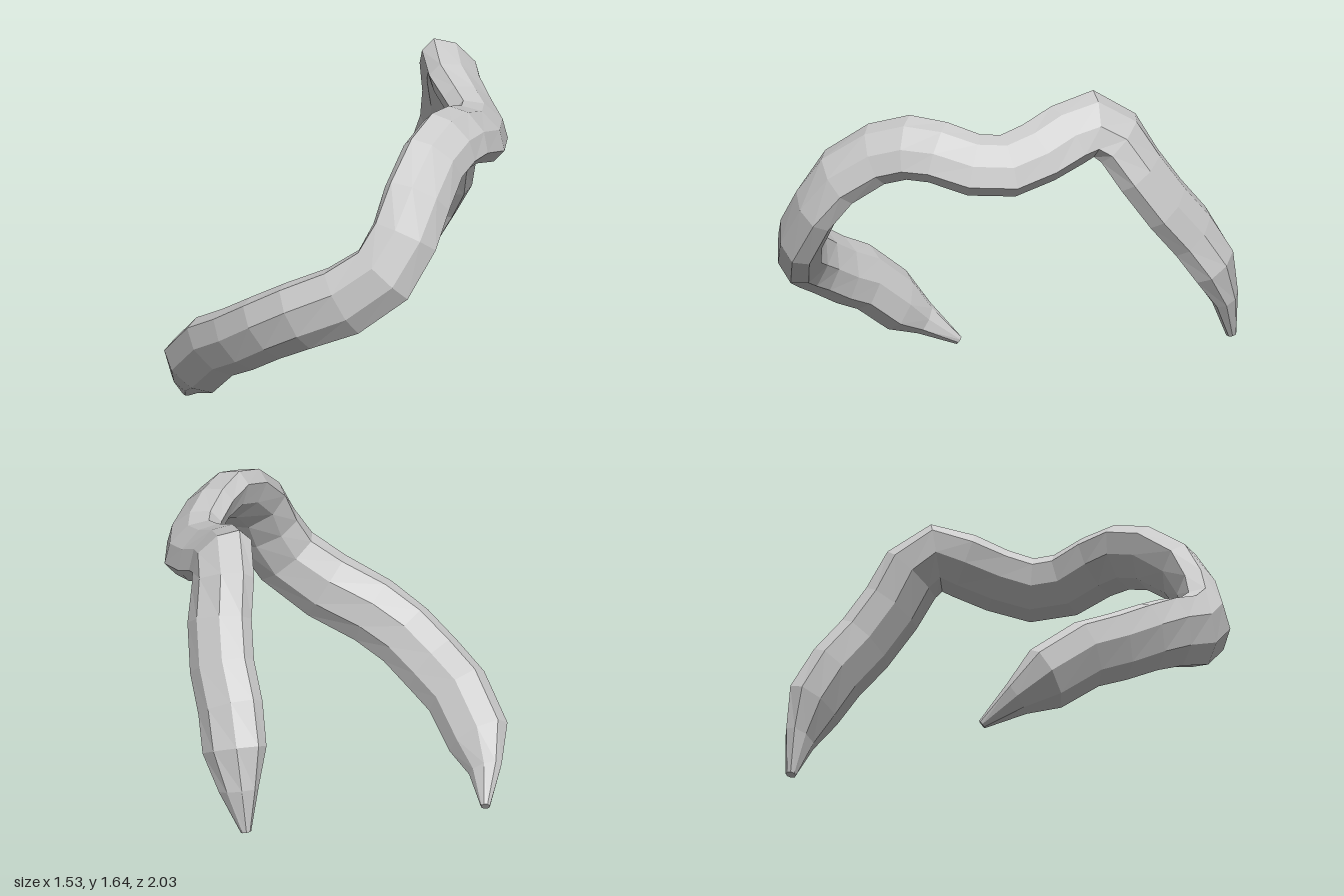
import * as THREE from 'three';

// Stations along the limb: centre x, y, z and half width
const STATIONS = [
  // back leg, from its tip up to the knee
  [-0.73, 0.37, -0.95, 0.025],
  [-0.68, 0.57, -0.95, 0.1],
  [-0.62, 0.75, -0.92, 0.165],
  [-0.53, 0.92, -0.86, 0.17],
  [-0.41, 1.08, -0.80, 0.17],
  [-0.31, 1.26, -0.72, 0.17],
  [-0.25, 1.42, -0.64, 0.17],
  // crossing span
  [-0.16, 1.50, -0.56, 0.17],
  [-0.05, 1.46, -0.49, 0.165],
  [0.10, 1.40, -0.43, 0.16],
  [0.25, 1.36, -0.36, 0.16],
  [0.36, 1.37, -0.24, 0.16],
  [0.43, 1.42, -0.08, 0.16],
  [0.48, 1.43, 0.06, 0.165],
  // outer bend
  [0.53, 1.38, 0.21, 0.165],
  [0.60, 1.25, 0.38, 0.17],
  [0.63, 1.09, 0.49, 0.17],
  [0.60, 0.92, 0.60, 0.175],
  // front arm, down to its tip
  [0.45, 0.78, 0.72, 0.18],
  [0.25, 0.68, 0.83, 0.175],
  [0.08, 0.59, 0.88, 0.17],
  [-0.10, 0.49, 0.89, 0.17],
  [-0.27, 0.41, 0.88, 0.17],
  [-0.47, 0.25, 0.83, 0.165],
  [-0.59, 0.14, 0.76, 0.09],
  [-0.71, 0.02, 0.645, 0.022],
];
const SIDES = 8;
const THICKNESS = 0.62;                                   // thin axis relative to wide axis
const WIDE = new THREE.Vector3(-0.6, 0.68, 0.42).normalize(); // wide axis before squaring to the path

function limbGeometry() {
  const centres = STATIONS.map(([x, y, z]) => new THREE.Vector3(x, y, z));
  const last = centres.length - 1;
  const positions = [];
  const index = [];

  // flattened eight-sided rings, each square to the path
  centres.forEach((c, i) => {
    const d = centres[Math.min(i + 1, last)].clone().sub(centres[Math.max(i - 1, 0)]).normalize();
    const wide = WIDE.clone().addScaledVector(d, -WIDE.dot(d)).normalize();
    const thin = d.clone().cross(wide);
    const half = STATIONS[i][3];
    const k = i === 0 || i === last ? 1 : THICKNESS;
    for (let j = 0; j < SIDES; j++) {
      const a = ((j + 0.5) / SIDES) * Math.PI * 2;
      const p = c.clone()
        .addScaledVector(wide, half * Math.cos(a))
        .addScaledVector(thin, half * k * Math.sin(a));
      positions.push(p.x, p.y, p.z);
    }
  });

  // side walls
  for (let i = 0; i < last; i++) {
    for (let j = 0; j < SIDES; j++) {
      const a = i * SIDES + j;
      const b = i * SIDES + ((j + 1) % SIDES);
      index.push(a, b, a + SIDES, b, b + SIDES, a + SIDES);
    }
  }
  // blunt tips
  const end = last * SIDES;
  for (let j = 1; j < SIDES - 1; j++) {
    index.push(0, j + 1, j, end, end + j, end + j + 1);
  }

  const geometry = new THREE.BufferGeometry();
  geometry.setAttribute('position', new THREE.Float32BufferAttribute(positions, 3));
  geometry.setIndex(index);
  geometry.computeVertexNormals();
  return geometry;
}

export function createModel() {
  const group = new THREE.Group();
  const material = new THREE.MeshStandardMaterial({ color: 0xcccccc, flatShading: true });
  const limb = new THREE.Mesh(limbGeometry(), material);
  limb.name = 'curvedTentacle';
  group.add(limb);
  return group;
}
